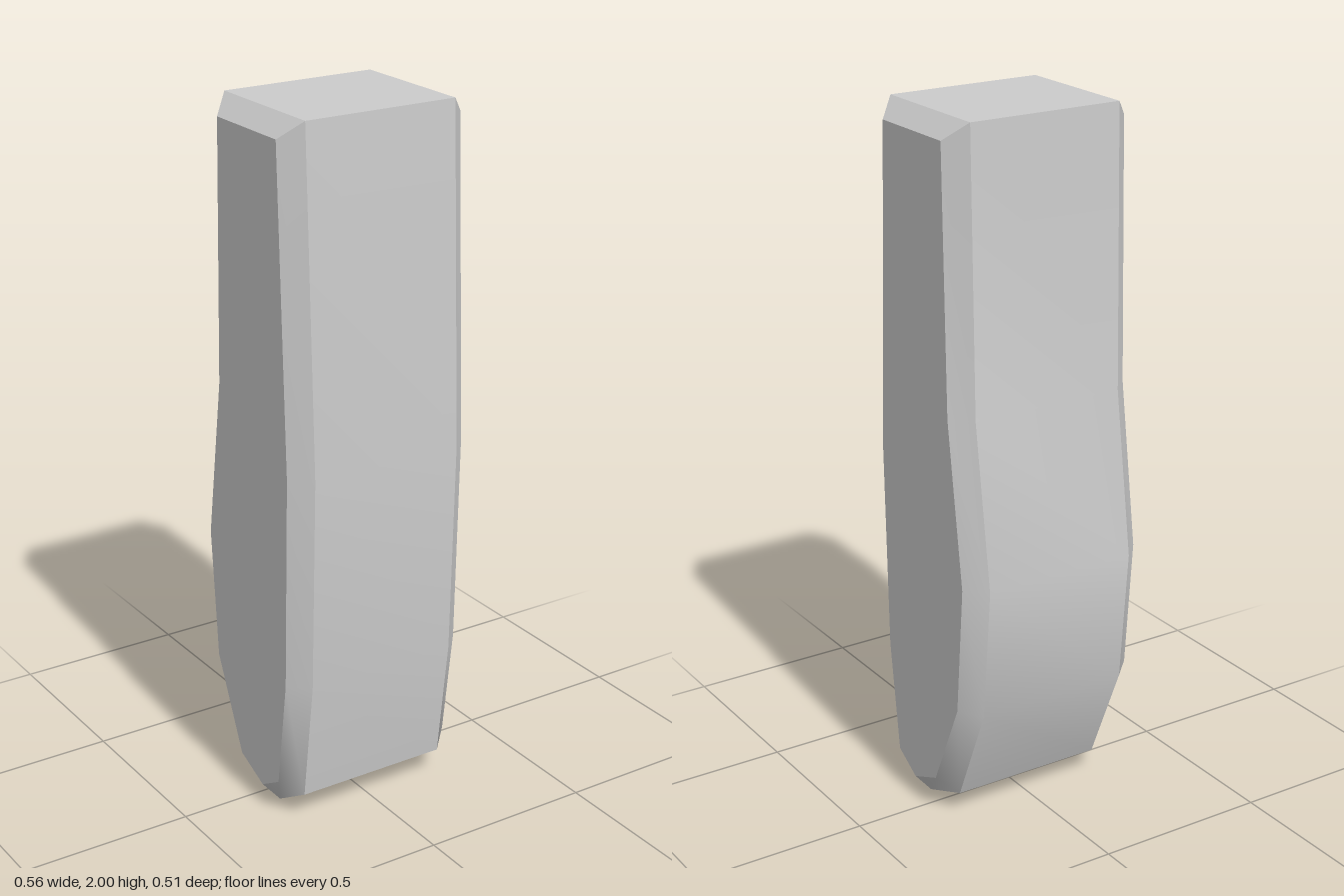
import * as THREE from 'three';
import { toCreasedNormals } from 'three/addons/utils/BufferGeometryUtils.js';

// Side profiles as [z, y], from the top front edge over the top and round the back
const OUTER = [
  [0.217, 2], [-0.173, 2], [-0.19, 1.215], [-0.257, 0.75], [-0.223, 0.365],
  [-0.095, 0.065], [0.064, 0], [0.195, 0.08], [0.24, 0.435], [0.257, 1.05],
];
const INNER = [
  [0.166, 1.95], [-0.12, 1.95], [-0.138, 1.215], [-0.204, 0.75], [-0.173, 0.376],
  [-0.053, 0.111], [0.059, 0.063], [0.145, 0.114], [0.188, 0.435], [0.204, 1.05],
];

// Joins the profiles across x and closes both sides
function bevelledBlock() {
  const ring = (profile, x) => profile.map(([z, y]) => [x, y, z]);
  const rings = [ring(INNER, 0.281), ring(OUTER, 0.227), ring(OUTER, -0.227), ring(INNER, -0.281)];
  const n = OUTER.length;
  const positions = [];
  const triangle = (...corners) => corners.forEach((p) => positions.push(...p));

  for (let i = 0; i < n; i++) {
    const j = (i + 1) % n;
    // Bevels and the main band
    for (let r = 0; r < 3; r++) {
      const a = rings[r], b = rings[r + 1];
      triangle(a[i], a[j], b[j]);
      triangle(a[i], b[j], b[i]);
    }
    // Flat side faces
    triangle([0.281, 0.8, 0.03], rings[0][j], rings[0][i]);
    triangle([-0.281, 0.8, 0.03], rings[3][i], rings[3][j]);
  }

  const geometry = new THREE.BufferGeometry();
  geometry.setAttribute('position', new THREE.Float32BufferAttribute(positions, 3));
  return toCreasedNormals(geometry, THREE.MathUtils.degToRad(40));
}

export function createModel() {
  const group = new THREE.Group();
  group.name = 'bevelledSegment';
  const lightGrey = new THREE.MeshStandardMaterial({ color: 0xcccccc });
  lightGrey.name = 'lightGrey';

  const body = new THREE.Mesh(bevelledBlock(), lightGrey);
  body.name = 'body';
  group.add(body);
  return group;
}
